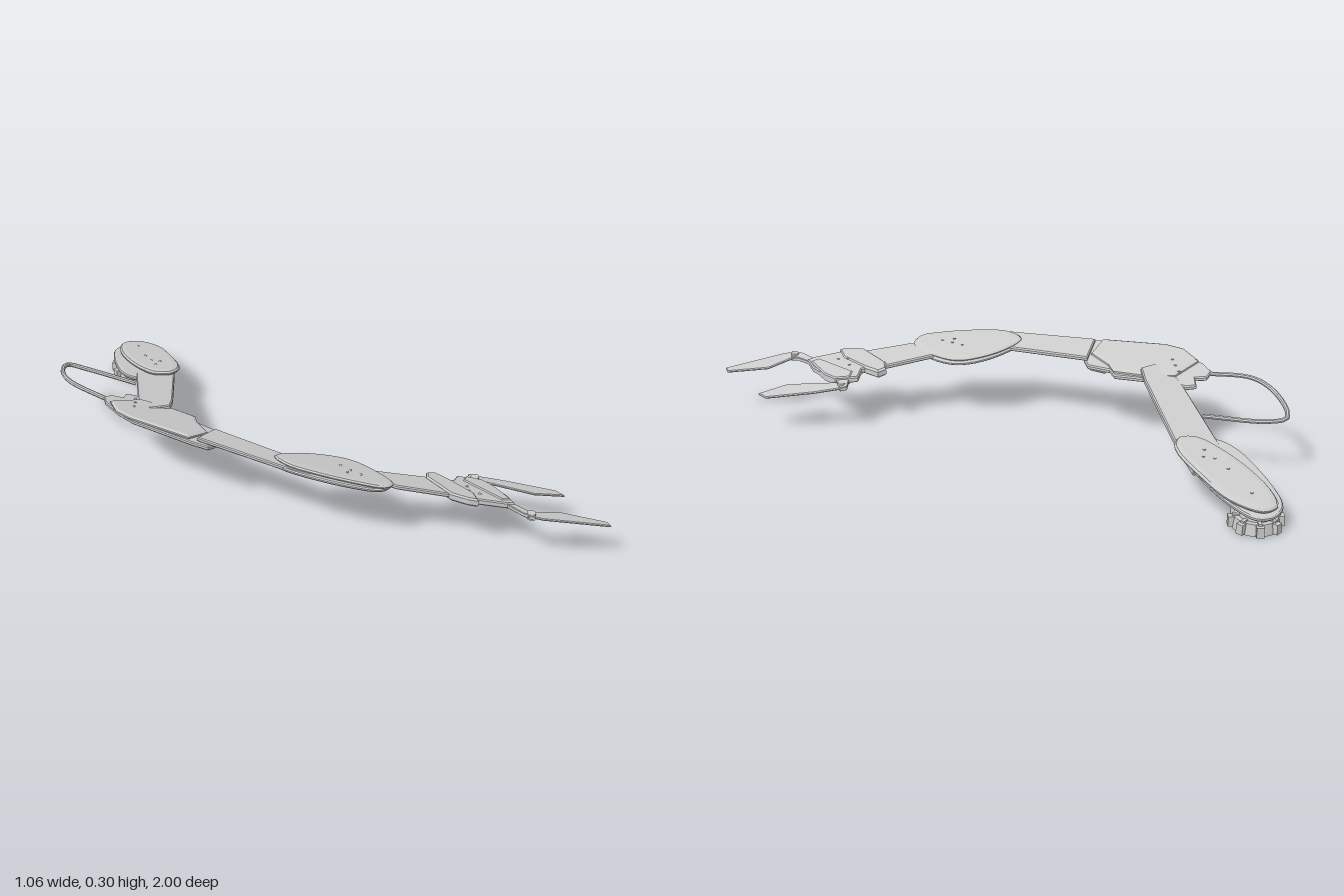
import * as THREE from 'three';

const material = new THREE.MeshStandardMaterial({ color: 0xcccccc, flatShading: true });

// Tilted planes that the arm segments lie on
const foreSlope = (x, z) => 0.199 - 0.253 * x + 0.091 * z;
const along = (x, z) => 0.49 * x - 0.87 * z;
const armSlope = (x, z) => 0.25 - 0.285 * (along(x, z) - 0.1);
const shoulderSlope = (x, z) => 0.165 - 0.22 * (along(x, z) - 0.42);

function add(parent, name, geometry, x = 0, y = 0, z = 0) {
  const mesh = new THREE.Mesh(geometry, material);
  mesh.name = name;
  mesh.position.set(x, y, z);
  parent.add(mesh);
  return mesh;
}

// Chamfered plate with a plan outline of [x, z] points, laid on a slope
function plate(parent, name, outline, slope, bottom, top, { bevel = 0.004, inset = bevel, smooth = false } = {}) {
  let points = outline.map(([x, z]) => new THREE.Vector2(x, -z));
  if (smooth) {
    const curve = new THREE.CatmullRomCurve3(points.map(p => new THREE.Vector3(p.x, p.y, 0)), true);
    points = curve.getPoints(40).slice(0, -1).map(p => new THREE.Vector2(p.x, p.y));
  }
  const geometry = new THREE.ExtrudeGeometry(new THREE.Shape(points), {
    depth: top - bottom - 2 * bevel, bevelThickness: bevel, bevelSize: inset,
    bevelOffset: -inset, bevelSegments: smooth ? 2 : 1,
  });
  geometry.rotateX(-Math.PI / 2);
  const pos = geometry.attributes.position;
  for (let i = 0; i < pos.count; i++) {
    pos.setY(i, pos.getY(i) + bottom + bevel + slope(pos.getX(i), pos.getZ(i)));
  }
  geometry.computeVertexNormals();
  return add(parent, name, geometry);
}

// Small bolt heads resting on a slope
function bolts(parent, places, slope, height) {
  for (const [x, z] of places) {
    add(parent, 'bolt', new THREE.CylinderGeometry(0.005, 0.005, 0.004, 8), x, slope(x, z) + height, z);
  }
}

function createBase() {
  const base = new THREE.Group();
  base.name = 'base';
  base.position.set(-0.095, 0, -0.912);
  add(base, 'foot', new THREE.CylinderGeometry(0.07, 0.076, 0.038, 24), 0, 0.019, 0);
  add(base, 'collar', new THREE.CylinderGeometry(0.05, 0.054, 0.024, 24), 0, 0.05, 0);
  add(base, 'post', new THREE.CylinderGeometry(0.026, 0.026, 0.038, 16), 0, 0.079, 0);
  for (let i = 0; i < 8; i++) {
    const clamp = new THREE.Group();
    clamp.name = 'clamp';
    clamp.rotation.y = i * Math.PI / 4;
    add(clamp, 'clampBlock', new THREE.BoxGeometry(0.022, 0.034, 0.024), 0.077, 0.019, 0);
    add(clamp, 'clampRib', new THREE.BoxGeometry(0.03, 0.006, 0.012), 0.06, 0.04, 0);
    base.add(clamp);
  }
  return base;
}

export function createModel() {
  const model = new THREE.Group();
  model.name = 'roboticArm';
  model.add(createBase());

  // Shoulder: wide under-plate and domed cover
  plate(model, 'shoulderPlate', [[-0.25, -0.66], [-0.25, -0.74], [-0.18, -0.92], [-0.13, -0.985], [-0.07, -0.995],
    [-0.02, -0.96], [-0.015, -0.87], [-0.04, -0.75], [-0.1, -0.61], [-0.15, -0.575], [-0.21, -0.6]],
  shoulderSlope, -0.018, 0, { bevel: 0.006, inset: 0.012, smooth: true });
  plate(model, 'shoulderCover', [[-0.195, -0.68], [-0.185, -0.8], [-0.15, -0.92], [-0.1, -0.985], [-0.045, -0.97],
    [-0.012, -0.87], [-0.03, -0.75], [-0.085, -0.595], [-0.14, -0.57], [-0.185, -0.61]],
  shoulderSlope, -0.002, 0.02, { bevel: 0.009, inset: 0.02, smooth: true });
  bolts(model, [[-0.12, -0.78], [-0.13, -0.72], [-0.11, -0.69], [-0.14, -0.67], [-0.08, -0.9]], shoulderSlope, 0.02);

  // Upper arm
  plate(model, 'upperArm', [[-0.42, -0.28], [-0.37, -0.4], [-0.235, -0.65], [-0.18, -0.75], [-0.06, -0.69],
    [-0.115, -0.58], [-0.29, -0.3], [-0.33, -0.25]], armSlope, -0.012, 0.01);

  // Elbow: layered plates
  plate(model, 'elbowPlate', [[-0.505, -0.3], [-0.5, -0.39], [-0.48, -0.44], [-0.445, -0.445], [-0.42, -0.415],
    [-0.39, -0.445], [-0.365, -0.42], [-0.33, -0.3], [-0.275, -0.18], [-0.29, -0.145], [-0.265, -0.065],
    [-0.285, -0.03], [-0.32, -0.015], [-0.335, 0.04], [-0.37, 0.05], [-0.4, 0], [-0.495, -0.22]],
  foreSlope, -0.03, -0.014);
  plate(model, 'elbowCover', [[-0.515, -0.29], [-0.49, -0.375], [-0.38, -0.36], [-0.33, -0.29], [-0.28, -0.17],
    [-0.3, -0.13], [-0.315, -0.04], [-0.4, -0.02], [-0.5, -0.22]],
  foreSlope, -0.016, 0, { bevel: 0.005, inset: 0.01 });
  plate(model, 'elbowBracket', [[-0.37, -0.1], [-0.285, -0.13], [-0.27, -0.07], [-0.345, -0.01]], foreSlope, -0.036, -0.026);
  bolts(model, [[-0.42, -0.33], [-0.4, -0.36], [-0.44, -0.3]], foreSlope, 0);

  // Hose looping from the elbow to the upper arm
  const hosePath = new THREE.CatmullRomCurve3([[-0.465, 0.255, -0.41], [-0.525, 0.267, -0.58], [-0.5, 0.245, -0.7],
    [-0.435, 0.212, -0.78], [-0.39, 0.2, -0.735], [-0.29, 0.195, -0.55]].map(p => new THREE.Vector3(...p)));
  add(model, 'hose', new THREE.TubeGeometry(hosePath, 40, 0.008, 8));

  // Forearm and its domed cover
  plate(model, 'forearm', [[-0.38, 0], [-0.28, -0.05], [-0.165, 0.23], [-0.12, 0.3], [-0.19, 0.36], [-0.245, 0.28]],
    foreSlope, -0.014, 0.002);
  plate(model, 'forearmPlate', [[-0.24, 0.21], [-0.17, 0.215], [-0.07, 0.255], [0, 0.32], [0.028, 0.42],
    [0.015, 0.51], [-0.04, 0.525], [-0.11, 0.475], [-0.2, 0.365], [-0.245, 0.28]],
  foreSlope, -0.017, 0, { bevel: 0.006, inset: 0.015, smooth: true });
  plate(model, 'forearmCover', [[-0.225, 0.215], [-0.16, 0.215], [-0.07, 0.255], [0, 0.32], [0.026, 0.42],
    [0.018, 0.52], [-0.03, 0.535], [-0.09, 0.485], [-0.18, 0.375], [-0.228, 0.29]],
  foreSlope, -0.002, 0.014, { bevel: 0.007, inset: 0.02, smooth: true });
  bolts(model, [[-0.07, 0.36], [-0.06, 0.4], [-0.05, 0.44], [-0.08, 0.41]], foreSlope, 0.014);

  // Wrist bar
  plate(model, 'wrist', [[-0.03, 0.44], [0.02, 0.41], [0.18, 0.52], [0.22, 0.6], [0.17, 0.66], [0.02, 0.535]],
    foreSlope, -0.009, 0.007);

  // Hand: cuff, palm and knuckle plate
  plate(model, 'cuff', [[0.145, 0.65], [0.155, 0.52], [0.18, 0.49], [0.21, 0.5], [0.22, 0.56], [0.225, 0.67], [0.2, 0.72], [0.175, 0.7]],
    foreSlope, -0.016, 0.014, { bevel: 0.006 });
  plate(model, 'palm', [[0.18, 0.69], [0.2, 0.55], [0.23, 0.565], [0.27, 0.54], [0.325, 0.6], [0.325, 0.72],
    [0.305, 0.775], [0.28, 0.765], [0.22, 0.72]], foreSlope, -0.012, 0.01);
  plate(model, 'knuckle', [[0.26, 0.58], [0.29, 0.56], [0.325, 0.6], [0.33, 0.65], [0.31, 0.75], [0.28, 0.74]],
    foreSlope, -0.016, 0.014);
  bolts(model, [[0.24, 0.62], [0.24, 0.68], [0.22, 0.65]], foreSlope, 0.01);

  // Gripper: two linked fingers
  const fingers = {
    right: {
      link: [[0.28, 0.59], [0.295, 0.56], [0.325, 0.535], [0.345, 0.55], [0.33, 0.585], [0.31, 0.61]],
      blade: [[0.31, 0.57], [0.33, 0.54], [0.41, 0.61], [0.53, 0.735], [0.53, 0.775], [0.435, 0.73], [0.335, 0.6]],
      pivot: [0.325, 0.565],
    },
    left: {
      link: [[0.28, 0.75], [0.305, 0.75], [0.315, 0.82], [0.33, 0.84], [0.3, 0.87], [0.285, 0.83]],
      blade: [[0.29, 0.85], [0.305, 0.82], [0.335, 0.84], [0.415, 0.865], [0.515, 0.975], [0.505, 1], [0.32, 0.885]],
      pivot: [0.307, 0.845],
    },
  };
  for (const [side, { link, blade, pivot }] of Object.entries(fingers)) {
    plate(model, side + 'FingerLink', link, foreSlope, -0.009, 0.005, { bevel: 0.002 });
    plate(model, side + 'Finger', blade, foreSlope, -0.005, 0.003, { bevel: 0.003 });
    add(model, side + 'FingerPivot', new THREE.CylinderGeometry(0.014, 0.014, 0.02, 12),
      pivot[0], foreSlope(...pivot) - 0.001, pivot[1]);
  }
  return model;
}
